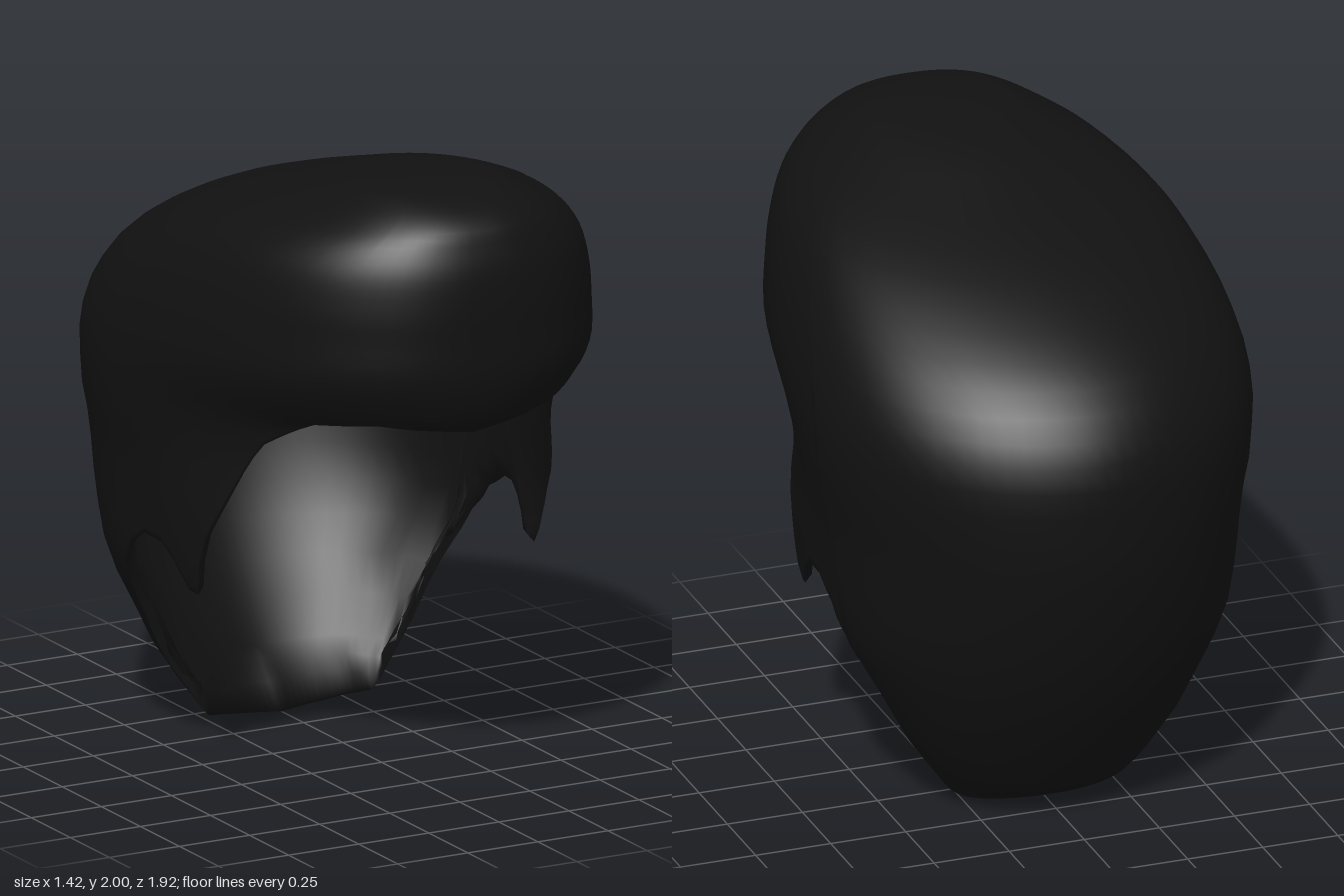
import * as THREE from 'three';

// Horizontal sections from crown to nape: y, half width, front z, back z, z of widest point
const SECTIONS = [
  [2.0, 0, 0.58, 0.58, 0.58], [1.99, 0.19, 0.7, 0.4, 0.56], [1.95, 0.3, 0.83, 0.17, 0.5],
  [1.9, 0.4, 0.9, 0, 0.4], [1.85, 0.49, 0.925, -0.17, 0.3], [1.77, 0.58, 0.95, -0.42, 0.15],
  [1.65, 0.645, 0.96, -0.68, 0], [1.56, 0.675, 0.958, -0.81, -0.1], [1.42, 0.703, 0.95, -0.92, -0.2],
  [1.28, 0.71, 0.9, -0.96, -0.24], [1.23, 0.706, 0.84, -0.96, -0.24], [1.15, 0.7, 0.8, -0.96, -0.25],
  [1.0, 0.67, 0.78, -0.95, -0.25], [0.8, 0.65, 0.78, -0.905, -0.27], [0.6, 0.62, 0.85, -0.84, -0.28],
  [0.42, 0.525, 0.75, -0.76, -0.325], [0.25, 0.44, 0.5, -0.66, -0.335], [0.1, 0.335, 0.2, -0.56, -0.322],
  [0.04, 0.29, 0, -0.475, -0.325], [0.02, 0.27, -0.1, -0.425, -0.33], [0, 0.25, -0.2, -0.39, -0.33],
];

// Hairline on one side: angle from the front, height, subdivisions up to the next point
const HAIRLINE = [
  [0, 1.225, 4], [0.28, 1.25, 3], [0.45, 1.27, 3], [0.685, 1.25, 2], [0.769, 1.2, 2], [0.85, 1.15, 3],
  [0.985, 1.0, 3], [1.171, 0.8, 2], [1.232, 0.7, 2], [1.267, 0.605, 2], [1.305, 0.61, 2], [1.36, 0.7, 2],
  [1.404, 0.74, 2], [1.48, 0.745, 3], [1.542, 0.69, 2], [1.571, 0.6, 2], [1.59, 0.42, 2], [1.605, 0.25, 2],
  [1.62, 0.1, 2], [1.635, 0.045, 3], [1.9, 0.032, 5], [2.5, 0.014, 7], [Math.PI, 0, 1],
];

const ROWS = 30;
const depth = (y) => Math.sqrt(Math.max(0, 2 - y)); // keeps the crown round

// Smooth lookup of a section's measurements at height y
function sectionAt(y) {
  const s = depth(y);
  const last = SECTIONS.length - 1;
  let i = 0;
  while (i < last - 1 && depth(SECTIONS[i + 1][0]) < s) i++;
  const at = (k) => depth(SECTIONS[k][0]);
  const slope = (k, c) => {
    const p = Math.max(0, k - 1), n = Math.min(last, k + 1);
    return (SECTIONS[n][c] - SECTIONS[p][c]) / (at(n) - at(p));
  };
  const h = at(i + 1) - at(i), u = (s - at(i)) / h, u2 = u * u, u3 = u2 * u;
  return [1, 2, 3, 4].map((c) =>
    (2 * u3 - 3 * u2 + 1) * SECTIONS[i][c] + (u3 - 2 * u2 + u) * h * slope(i, c) +
    (3 * u2 - 2 * u3) * SECTIONS[i + 1][c] + (u3 - u2) * h * slope(i + 1, c));
}

// Point on the outer surface: full above the fringe, tucked in at the temples, full at the sideburns
function surfacePoint(angle, y) {
  const [half, front, back, mid] = sectionAt(y);
  const c = Math.cos(angle), s = Math.sin(angle);
  const { smoothstep } = THREE.MathUtils;
  const fullness = 1.85 + 0.5 * smoothstep(y, 1.2, 1.45) + 0.65 * (1 - smoothstep(y, 0.75, 1.15));
  const e = 2 / (c > 0 ? fullness : 1.93);
  const x = Math.sign(s) * half * Math.pow(Math.abs(s), e);
  const z = mid + (c > 0 ? front - mid : back - mid) * Math.pow(Math.abs(c), e);
  return new THREE.Vector3(x, y, z);
}

// Columns all the way round, mirrored left to right
function hairlineColumns() {
  const half = [];
  HAIRLINE.forEach(([a, y, n], i) => {
    const [a2, y2] = HAIRLINE[Math.min(i + 1, HAIRLINE.length - 1)];
    for (let k = 0; k < n; k++) half.push([a + (a2 - a) * k / n, y + (y2 - y) * k / n]);
  });
  const mirrored = half.slice(1, -1).reverse().map(([a, y]) => [2 * Math.PI - a, y]);
  return half.concat(mirrored);
}

// Skin over rings that all have the same number of points
function skin(rings) {
  const n = rings[0].length, index = [];
  for (let i = 0; i < rings.length - 1; i++) {
    for (let j = 0; j < n; j++) {
      const k = (j + 1) % n;
      const a = i * n + j, b = a + n, c = (i + 1) * n + k, d = i * n + k;
      index.push(a, b, c, a, c, d);
    }
  }
  const geometry = new THREE.BufferGeometry().setFromPoints(rings.flat());
  geometry.setIndex(index);
  geometry.computeVertexNormals();
  return geometry;
}

export function createModel() {
  const columns = hairlineColumns();
  const n = columns.length;

  // Outer shell from the crown down to the hairline, rows closer together at the edge
  const steps = [];
  for (let i = 0; i <= ROWS; i++) steps.push(i / ROWS);
  steps.splice(ROWS, 0, 0.98, 0.992);
  const outer = steps.map((t) => columns.map(([a, rim]) => surfacePoint(a, 2 - (2 - rim) * t * t)));
  const normals = skin(outer).attributes.normal;
  const rimPoints = outer[outer.length - 1];

  // Inner shell, thinning towards the nearest edge; thicker with a long bevel at the nape
  const inner = outer.map((ring, i) => ring.map((p, j) => {
    const normal = i === 0 ? new THREE.Vector3(0, 1, 0)
      : new THREE.Vector3().fromBufferAttribute(normals, i * n + j);
    const nape = 1 - THREE.MathUtils.smoothstep(p.y, 0.1, 0.65);
    const gap = Math.min(...rimPoints.map((r) => r.distanceTo(p)));
    const taper = Math.sqrt(Math.min(1, gap / (0.11 + 0.07 * nape)));
    return p.clone().addScaledVector(normal, -(0.06 + 0.04 * nape) * taper);
  }));
  const geometry = skin([...outer, ...inner.slice(0, -1).reverse()]);

  // Even shading at the two crown points
  const shaded = geometry.attributes.normal;
  for (let j = 0; j < n; j++) {
    shaded.setXYZ(j, 0, 1, 0);
    shaded.setXYZ(shaded.count - 1 - j, 0, -1, 0);
  }

  const hair = new THREE.Mesh(geometry, new THREE.MeshStandardMaterial({ color: 0x111111, side: THREE.DoubleSide }));
  hair.name = 'hair';
  const model = new THREE.Group();
  model.name = 'hairpiece';
  model.add(hair);
  return model;
}
